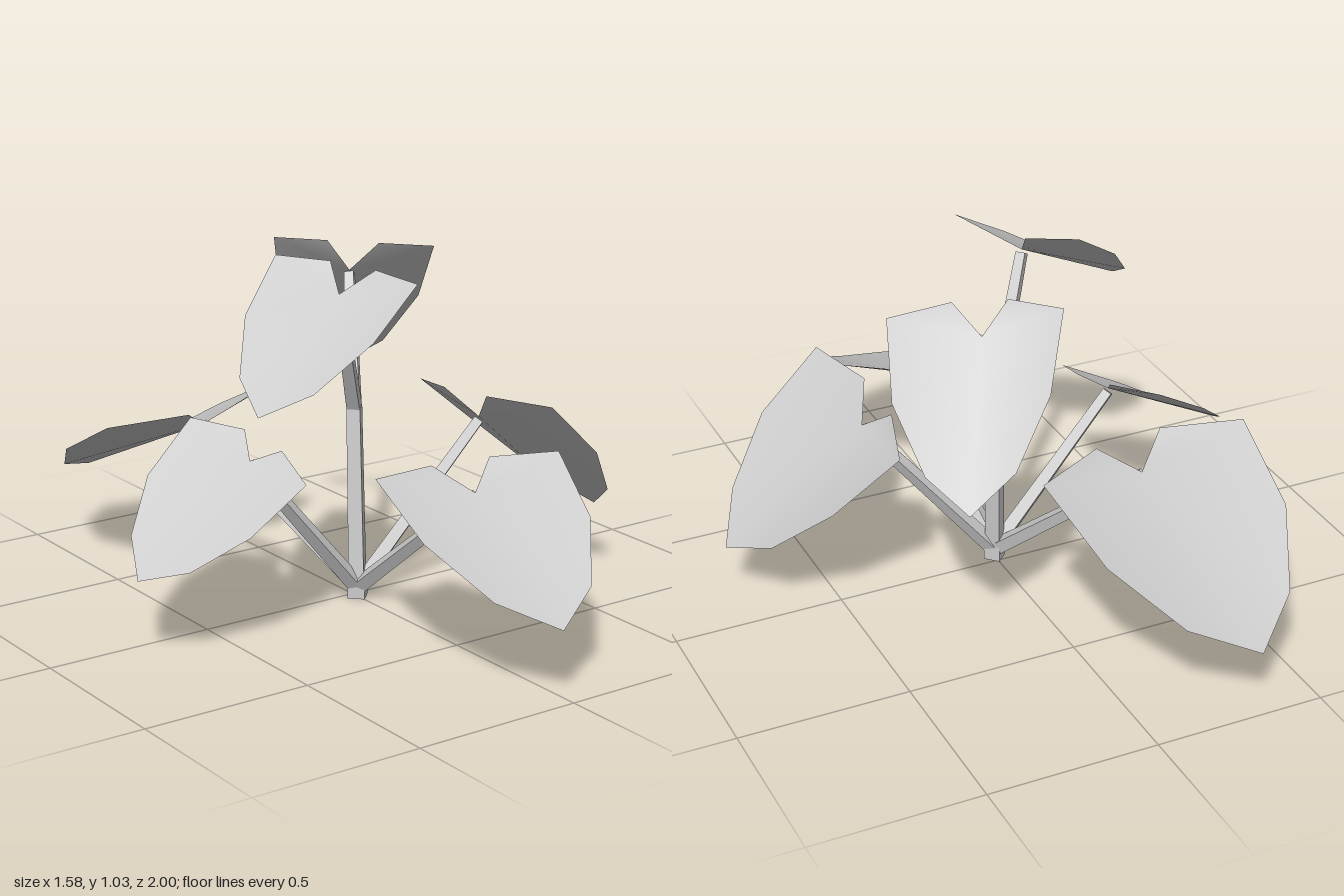
import * as THREE from 'three';

const leafGrey = new THREE.MeshStandardMaterial({ color: 0xcccccc, side: THREE.DoubleSide });
leafGrey.name = 'plantGrey';
const stemGrey = leafGrey.clone();
stemGrey.name = 'stemGrey';
stemGrey.flatShading = true;

const vec = (p) => new THREE.Vector3(...p);

// Heart-shaped outline, as weights of the left lobe, right lobe and tip
// measured from the notch; the right half mirrors the left half.
const HALF = [
  [0.42, 0.10, -0.135], // inner lobe
  [1, 0, 0],            // outer lobe
  [0.83, -0.06, 0.45],  // side
  [0.375, -0.135, 0.80] // beside the tip
];
const OUTLINE = [
  ...HALF,
  [0, 0, 1],
  ...HALF.map(([l, r, t]) => [r, l, t]).reverse()
];

// Cupped leaf blade, fanned out from the notch
function makeLeaf({ notch, tip, left, right }) {
  const n = vec(notch);
  const axes = [left, right, tip].map((p) => vec(p).sub(n));
  const points = [n];
  for (const weights of OUTLINE) {
    const p = n.clone();
    weights.forEach((w, i) => p.addScaledVector(axes[i], w));
    points.push(p);
  }
  const index = [];
  for (let i = 1; i < OUTLINE.length; i++) index.push(0, i, i + 1);
  const geometry = new THREE.BufferGeometry().setFromPoints(points);
  geometry.setIndex(index);
  geometry.computeVertexNormals();
  return new THREE.Mesh(geometry, leafGrey);
}

// Four-sided tapering stem between two points
function makeStem(from, to, r0, r1) {
  const a = vec(from), b = vec(to);
  const dir = b.clone().sub(a);
  const mesh = new THREE.Mesh(new THREE.CylinderGeometry(r1, r0, dir.length(), 4), stemGrey);
  mesh.position.copy(a).add(b).multiplyScalar(0.5);
  mesh.quaternion.setFromUnitVectors(new THREE.Vector3(0, 1, 0), dir.normalize());
  return mesh;
}

const ROOT = [0, 0.03, 0.025];
const FORK = [0.02, 0.56, -0.02];

const LEAVES = [
  { name: 'back', from: ROOT, notch: [-0.25, 0.46, -0.41], tip: [-0.31, 0.20, -1.0],
    left: [0.09, 0.54, -0.48], right: [-0.60, 0.52, -0.36] },
  { name: 'front', from: ROOT, notch: [0.08, 0.42, 0.47], tip: [-0.04, 0.21, 1.0],
    left: [-0.20, 0.49, 0.39], right: [0.35, 0.50, 0.50] },
  { name: 'left', from: ROOT, notch: [0.38, 0.50, 0.10], tip: [0.79, 0.17, 0.15],
    left: [0.39, 0.60, 0.42], right: [0.39, 0.545, -0.20] },
  { name: 'right', from: ROOT, notch: [-0.37, 0.48, 0.03], tip: [-0.79, 0.24, 0.12],
    left: [-0.42, 0.56, -0.20], right: [-0.33, 0.46, 0.25] },
  { name: 'upperFront', from: FORK, notch: [-0.13, 0.94, 0.12], tip: [-0.53, 0.70, 0.32],
    left: [-0.22, 1.03, -0.06], right: [-0.01, 0.99, 0.32] },
  { name: 'upperBack', from: FORK, notch: [0.165, 0.90, -0.25], tip: [0.33, 0.53, -0.53],
    left: [0.40, 0.96, -0.15], right: [-0.02, 1.00, -0.37] }
];

export function createModel() {
  const plant = new THREE.Group();
  plant.name = 'plant';

  // Foot and central stalk
  const foot = makeStem([0, 0, 0.025], [0, 0.05, 0.025], 0.035, 0.035);
  foot.name = 'foot';
  const stalk = makeStem(ROOT, FORK, 0.032, 0.028);
  stalk.name = 'centralStalk';
  plant.add(foot, stalk);

  // Each branch is a stem ending just under its leaf notch
  for (const spec of LEAVES) {
    const branch = new THREE.Group();
    branch.name = spec.name + 'Branch';
    const end = [spec.notch[0], spec.notch[1] - 0.01, spec.notch[2]];
    const stem = makeStem(spec.from, end, 0.027, 0.02);
    stem.name = spec.name + 'Stem';
    const leaf = makeLeaf(spec);
    leaf.name = spec.name + 'Leaf';
    branch.add(stem, leaf);
    plant.add(branch);
  }
  return plant;
}
